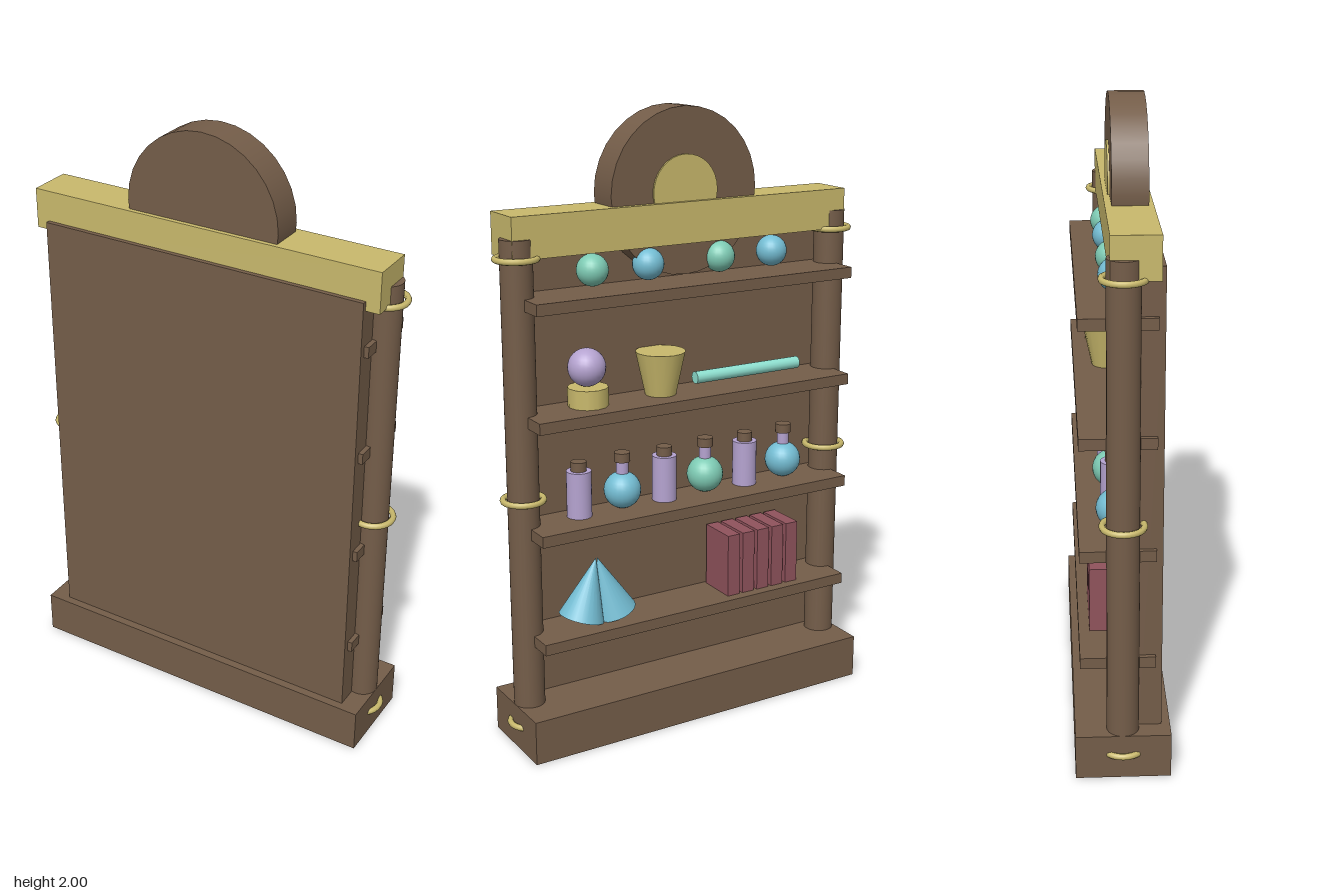
import * as THREE from 'three';

export function createModel() {
  const root = new THREE.Group();
  const mat = (name, color) => {
    const m = new THREE.MeshStandardMaterial({ color });
    m.name = name;
    return m;
  };
  const wood = mat('wood', 0x745d49);
  const gold = mat('gold', 0xc9b96c);
  const blue = mat('blue', 0x74bdd3);
  const green = mat('green', 0x7ecbb4);
  const mint = mat('mint', 0x8edfcf);
  const violet = mat('violet', 0xb5a3d0);
  const red = mat('red', 0x90535c);

  const add = (name, geo, material, x, y, z) => {
    const m = new THREE.Mesh(geo, material);
    m.name = name;
    m.position.set(x, y, z);
    root.add(m);
    return m;
  };
  // box given by its limits in y and z, centred on x
  const slab = (name, material, x, w, y0, y1, z0, z1) =>
    add(name, new THREE.BoxGeometry(w, y1 - y0, z1 - z0), material, x, (y0 + y1) / 2, (z0 + z1) / 2);
  // upright round part standing on y
  const round = (name, material, rTop, rBottom, h, x, y, z, sides = 24) =>
    add(name, new THREE.CylinderGeometry(rTop, rBottom, h, sides), material, x, y + h / 2, z);
  const ball = (name, material, r, x, y, z) =>
    add(name, new THREE.SphereGeometry(r, 24, 16), material, x, y, z);

  // cabinet frame
  slab('base', wood, 0, 1.24, 0, 0.145, -0.147, 0.147);
  slab('panel', wood, 0, 1.11, 0.145, 1.61, 0.05, 0.12);
  slab('topBeam', gold, 0, 1.2, 1.58, 1.71, -0.04, 0.105);
  const shelfTops = [0.39, 0.747, 1.105, 1.465];
  for (const y of shelfTops) slab('shelf', wood, 0, 1.14, y - 0.036, y, -0.13, 0.1);

  // crest disc with inset on the shelf side
  add('crest', new THREE.CylinderGeometry(0.26, 0.26, 0.11, 32), wood, 0, 1.74, 0.035).rotation.x = Math.PI / 2;
  add('crestInset', new THREE.CylinderGeometry(0.115, 0.115, 0.008, 32), gold, 0, 1.74, -0.022).rotation.x = Math.PI / 2;

  // posts and their rings
  for (const side of [-1, 1]) {
    round('post', wood, 0.05, 0.05, 1.635, side * 0.57, 0.005, 0);
    for (const y of [0.08, 0.83, 1.58])
      add('postRing', new THREE.TorusGeometry(0.063, 0.01, 8, 32), gold, side * 0.57, y, 0).rotation.x = Math.PI / 2;
  }

  // top shelf: four small balls
  [-0.33, -0.13, 0.13, 0.325].forEach((x, i) =>
    ball('smallBall', i % 2 ? green : blue, 0.05, x, 1.525, -0.015));

  // third shelf: ball on stand, cup, rod
  round('ballStand', gold, 0.064, 0.064, 0.06, 0.35, 1.105, -0.02, 12);
  ball('standBall', violet, 0.06, 0.35, 1.225, -0.015);
  round('cup', gold, 0.08, 0.05, 0.14, 0.09, 1.105, -0.02, 16);
  add('rod', new THREE.CylinderGeometry(0.02, 0.02, 0.4, 16), mint, -0.25, 1.133, 0).rotation.z = Math.PI / 2;

  // second shelf: tall jars alternating with round flasks
  for (let i = 0; i < 6; i++) {
    const x = 0.385 - i * 0.155, y = shelfTops[1];
    if (i % 2 === 0) {
      round('jar', violet, 0.04, 0.04, 0.15, x, y, -0.015);
      round('jarCork', wood, 0.025, 0.025, 0.03, x, y + 0.15, -0.015, 16);
    } else {
      ball('flask', i === 3 ? green : blue, 0.06, x, y + 0.06, -0.015);
      round('flaskNeck', violet, 0.02, 0.02, 0.045, x, y + 0.11, -0.015, 16);
      round('flaskCork', wood, 0.026, 0.026, 0.03, x, y + 0.155, -0.015, 16);
    }
  }

  // first shelf: two leaning cones and a row of books
  for (const side of [-1, 1])
    add('cone', new THREE.ConeGeometry(0.075, 0.2, 24), blue, 0.33 + side * 0.03, 0.5, -0.02).rotation.z = side * 0.28;
  for (let i = 0; i < 5; i++)
    slab('book', red, -0.145 - i * 0.058, 0.046, 0.39, 0.603, -0.096, 0.04);

  return root;
}
